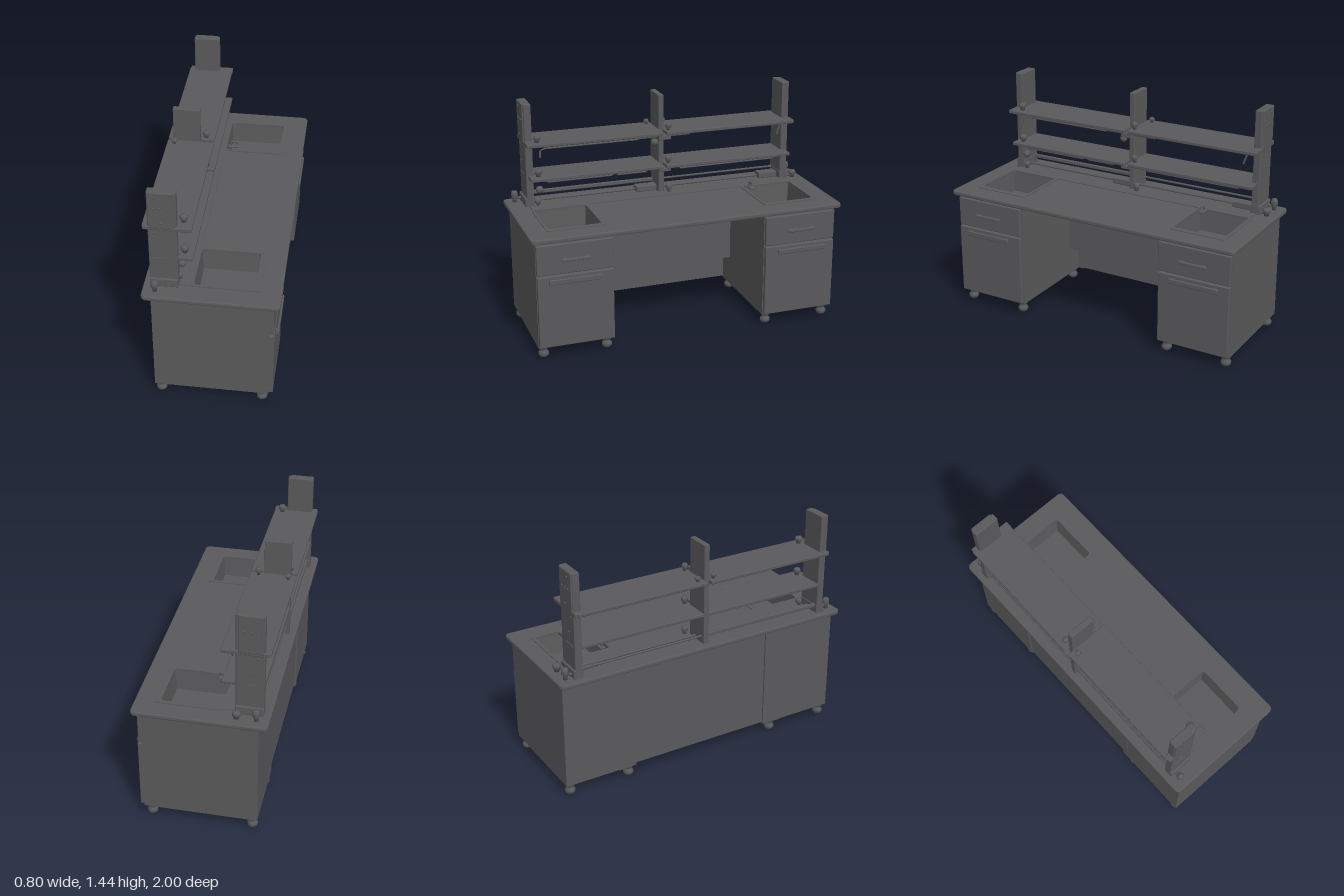
import * as THREE from 'three';
import { RoundedBoxGeometry } from 'three/addons/geometries/RoundedBoxGeometry.js';

export function createModel() {
  const model = new THREE.Group();
  model.name = 'laboratoryBench';
  const grey = new THREE.MeshStandardMaterial({ color: 0x5a5a5c, side: THREE.DoubleSide });
  grey.name = 'darkGrey';

  const add = (name, geo) => {
    const m = new THREE.Mesh(geo, grey);
    m.name = name;
    model.add(m);
    return m;
  };
  // Box given by its limits, optionally with rounded edges
  const box = (name, x0, x1, y0, y1, z0, z1, r = 0) => {
    const s = [x1 - x0, y1 - y0, z1 - z0];
    const g = r ? new RoundedBoxGeometry(...s, 2, r) : new THREE.BoxGeometry(...s);
    add(name, g).position.set((x0 + x1) / 2, (y0 + y1) / 2, (z0 + z1) / 2);
  };
  const rod = (name, r, ...pts) => {
    const path = new THREE.CurvePath();
    const v = pts.map(p => new THREE.Vector3(...p));
    for (let i = 1; i < v.length; i++) path.add(new THREE.LineCurve3(v[i - 1], v[i]));
    add(name, new THREE.TubeGeometry(path, (v.length - 1) * 8, r, 8));
  };
  // Turned knob with a narrow neck
  const knob = (name, x, y, z, h = 0.07, r = 0.02) => {
    const profile = [[0, 0], [0.6, 0], [0.6, 0.3], [1, 0.45], [1, 0.75], [0.7, 0.95], [0, 1]];
    add(name, new THREE.LatheGeometry(profile.map(p => new THREE.Vector2(p[0] * r, p[1] * h)), 12))
      .position.set(x, y, z);
  };
  const roundRect = (C, x0, x1, y0, y1, r) => {
    const s = new C();
    s.moveTo(x0 + r, y0).lineTo(x1 - r, y0).quadraticCurveTo(x1, y0, x1, y0 + r)
      .lineTo(x1, y1 - r).quadraticCurveTo(x1, y1, x1 - r, y1)
      .lineTo(x0 + r, y1).quadraticCurveTo(x0, y1, x0, y1 - r)
      .lineTo(x0, y0 + r).quadraticCurveTo(x0, y0, x0 + r, y0);
    return s;
  };
  const extrudeDown = (shape, depth, bevel) => new THREE.ExtrudeGeometry(shape, {
    depth, bevelEnabled: bevel > 0, bevelSize: bevel, bevelThickness: bevel, bevelSegments: 2, curveSegments: 4,
  }).rotateX(Math.PI / 2);

  // Worktop with two sink openings
  const top = roundRect(THREE.Shape, -0.392, 0.392, -0.992, 0.992, 0.025);
  for (const s of [-1, 1]) {
    const a = s < 0 ? -0.863 : 0.533;
    top.holes.push(roundRect(THREE.Path, -0.118, 0.253, a - 0.008, a + 0.338, 0.02));
  }
  add('worktop', extrudeDown(top, 0.014, 0.008)).position.y = 0.777;

  for (const s of [-1, 1]) {
    const zs = (a, b) => (s > 0 ? [a, b] : [-b, -a]);
    const sink = s > 0 ? [0.533, 0.863] : [-0.863, -0.533];

    // Sink rim, basin and drain
    const rim = roundRect(THREE.Shape, -0.125, 0.278, sink[0] - 0.022, sink[1] + 0.014, 0.02);
    rim.holes.push(roundRect(THREE.Path, -0.11, 0.245, ...sink, 0.02));
    add('sinkRim', extrudeDown(rim, 0.012, 0)).position.y = 0.79;
    const wall = new THREE.CylinderGeometry(Math.SQRT1_2, Math.SQRT1_2 * 0.94, 0.14, 4, 1, true)
      .rotateY(Math.PI / 4).toNonIndexed();
    wall.scale(0.357, 1, 0.332);
    wall.computeVertexNormals();
    add('sinkBasin', wall).position.set(0.0675, 0.715, (sink[0] + sink[1]) / 2);
    box('sinkFloor', -0.1, 0.236, 0.64, 0.648, sink[0] + 0.008, sink[1] - 0.008);

    // Cabinet carcass
    box('cabinetOuterSide', -0.345, 0.345, 0.07, 0.756, ...zs(0.95, 0.97));
    box('cabinetInnerSide', -0.345, 0.345, 0.07, 0.756, ...zs(0.492, 0.512));
    box('cabinetBack', -0.345, -0.325, 0.07, 0.756, ...zs(0.51, 0.952));
    box('cabinetFace', 0.32, 0.34, 0.07, 0.756, ...zs(0.51, 0.952));
    box('cabinetBottom', -0.345, 0.345, 0.07, 0.09, ...zs(0.492, 0.97));

    // Drawer, door and bar handles
    box('drawerFront', 0.34, 0.366, 0.545, 0.735, ...zs(0.497, 0.967), 0.006);
    box('doorFront', 0.34, 0.37, 0.08, 0.538, ...zs(0.497, 0.967), 0.006);
    for (const [name, y, a, b, h] of [['drawerHandle', 0.637, 0.64, 0.82, 0.01], ['doorHandle', 0.505, 0.575, 0.9, 0.016]]) {
      box(name, 0.378, 0.392, y - h, y + h, ...zs(a, b), 0.005);
      for (const z of [a + 0.02, b - 0.02])
        box(name + 'Mount', 0.36, 0.385, y - h * 0.8, y + h * 0.8, ...zs(z - 0.01, z + 0.01));
    }

    // Castor feet
    for (const x of [-0.31, 0.303]) for (const z of [0.532, 0.932]) {
      const foot = [[0, 0], [0.022, 0], [0.032, 0.012], [0.032, 0.028], [0.022, 0.04], [0.02, 0.05], [0.03, 0.056], [0.03, 0.072]];
      add('foot', new THREE.LatheGeometry(foot.map(p => new THREE.Vector2(...p)), 12)).position.set(x, 0, s * z);
    }
    box('footBracket', -0.33, -0.25, 0.055, 0.072, ...zs(0.54, 0.6));
  }

  // Knee space: deep service panel above a thin back panel
  box('backPanel', -0.337, -0.32, 0.08, 0.756, -0.495, 0.495);
  box('servicePanel', -0.33, -0.205, 0.26, 0.756, -0.495, 0.495);
  box('serviceCover', -0.206, -0.198, 0.265, 0.7, -0.485, 0.485);
  box('kneeRail', -0.21, -0.16, 0.715, 0.756, -0.495, 0.495);
  box('backPost', -0.347, -0.325, 0.07, 0.756, 0.455, 0.495);

  // Shelf posts
  for (const s of [-1, 1]) {
    const zs = (a, b) => (s > 0 ? [a, b] : [-b, -a]);
    box('endPost', -0.36, -0.195, 0.78, 1.443, ...zs(0.838, 0.885), 0.006);
    box('postCap', -0.355, -0.21, 1.2, 1.443, ...zs(0.88, 0.893), 0.005);
    box('postSleeve', -0.36, -0.195, 0.785, 0.84, ...zs(0.835, 0.897), 0.006);
    box('shelfClamp', -0.39, -0.11, 1.185, 1.21, ...zs(0.845, 0.89), 0.005);
    box('slot', -0.335, -0.255, 0.982, 0.99, ...zs(0.88, 0.889));
    for (const [x, y] of [[-0.31, 1.41], [-0.32, 1.34], [-0.287, 1.34], [-0.245, 1.34], [-0.28, 1.24],
      [-0.325, 1.165], [-0.295, 1.065], [-0.27, 0.835]])
      add('bolt', new THREE.SphereGeometry(0.007, 8, 6)).position.set(x, y, s * (y > 1.2 ? 0.893 : 0.885));
    // Valves at the foot of each end post
    knob('endValve', -0.325, 0.785, s * 0.937, 0.075, 0.022);
    rod('valveStem', 0.009, [-0.325, 0.81, s * 0.88], [-0.325, 0.81, s * 0.94]);
  }
  knob('sideValve', -0.21, 0.785, -0.935, 0.05, 0.025);
  rod('valveStem', 0.009, [-0.21, 0.8, -0.88], [-0.21, 0.8, -0.94]);
  knob('sideValve', -0.2, 0.785, 0.815, 0.05, 0.02);
  box('middlePost', -0.36, -0.195, 0.78, 1.43, -0.018, 0.018, 0.005);

  // Shelves in two bays
  for (const [a, b] of [[-0.87, -0.012], [0.012, 0.87]]) {
    box('upperShelf', -0.395, -0.112, 1.185, 1.207, a, b, 0.005);
    box('lowerShelf', -0.36, -0.112, 0.966, 0.988, a, b, 0.005);
  }
  box('shelfBracket', -0.2, -0.12, 1.155, 1.187, -0.04, 0.04, 0.005);
  box('shelfBracket', -0.2, -0.12, 0.945, 0.968, -0.04, 0.04, 0.005);

  // Clamp knobs on the shelves
  for (const [y, h] of [[1.205, 0.05], [0.986, 0.05]]) {
    knob('shelfKnob', -0.165, y, 0.815, h, 0.024);
    knob('shelfKnob', -0.165, y, -0.037, h, 0.02);
  }
  for (const z of [-0.06, 0.05]) knob('rearKnob', -0.35, 1.205, z, 0.035, 0.018);
  for (const [x, y, z] of [[-0.185, 0.895, 0.805], [-0.18, 1.13, 0.05]]) {
    add('roundKnob', new THREE.SphereGeometry(0.024, 12, 8)).position.set(x, y, z);
    rod('knobStem', 0.007, [x - 0.03, y, z], [x, y, z]);
  }

  // Hanging rails beneath the shelves
  rod('upperRail', 0.006, [-0.16, 1.165, 0.17], [-0.16, 1.165, 0.8], [-0.16, 1.11, 0.8]);
  rod('upperRail', 0.006, [-0.16, 1.17, -0.18], [-0.16, 1.17, 0.17]);
  rod('upperRail', 0.006, [-0.16, 1.19, -0.82], [-0.16, 1.165, -0.81], [-0.16, 1.11, -0.79]);
  for (const [a, b] of [[0.1, 0.32], [0.32, 0.78], [-0.78, -0.1]])
    rod('lowerRail', 0.006, [-0.16, 0.97, a], [-0.16, 0.947, a + 0.015], [-0.16, 0.947, b - 0.015], [-0.16, 0.97, b]);

  // Service rails along the worktop
  box('lowRail', -0.345, -0.325, 0.822, 0.845, 0, 0.84, 0.004);
  rod('lowPipe', 0.007, [-0.335, 0.832, -0.84], [-0.335, 0.832, 0]);
  rod('lowPipe', 0.008, [-0.26, 0.805, -0.84], [-0.26, 0.805, 0.84]);
  box('pipeCoupling', -0.29, -0.225, 0.79, 0.83, 0.02, 0.16, 0.006);
  box('pipeCoupling', -0.29, -0.225, 0.79, 0.83, -0.83, -0.7, 0.006);
  box('rearCurb', -0.22, -0.115, 0.783, 0.79, -0.87, 0.87);
  knob('middleValve', -0.18, 0.785, -0.045, 0.06, 0.02);

  // Small tap beside the far sink
  box('tapBase', -0.105, -0.035, 0.786, 0.798, -0.592, -0.558, 0.005);
  rod('tapSpout', 0.008, [-0.085, 0.79, -0.575], [-0.085, 0.825, -0.575], [-0.045, 0.825, -0.575], [-0.04, 0.81, -0.575]);

  return model;
}
